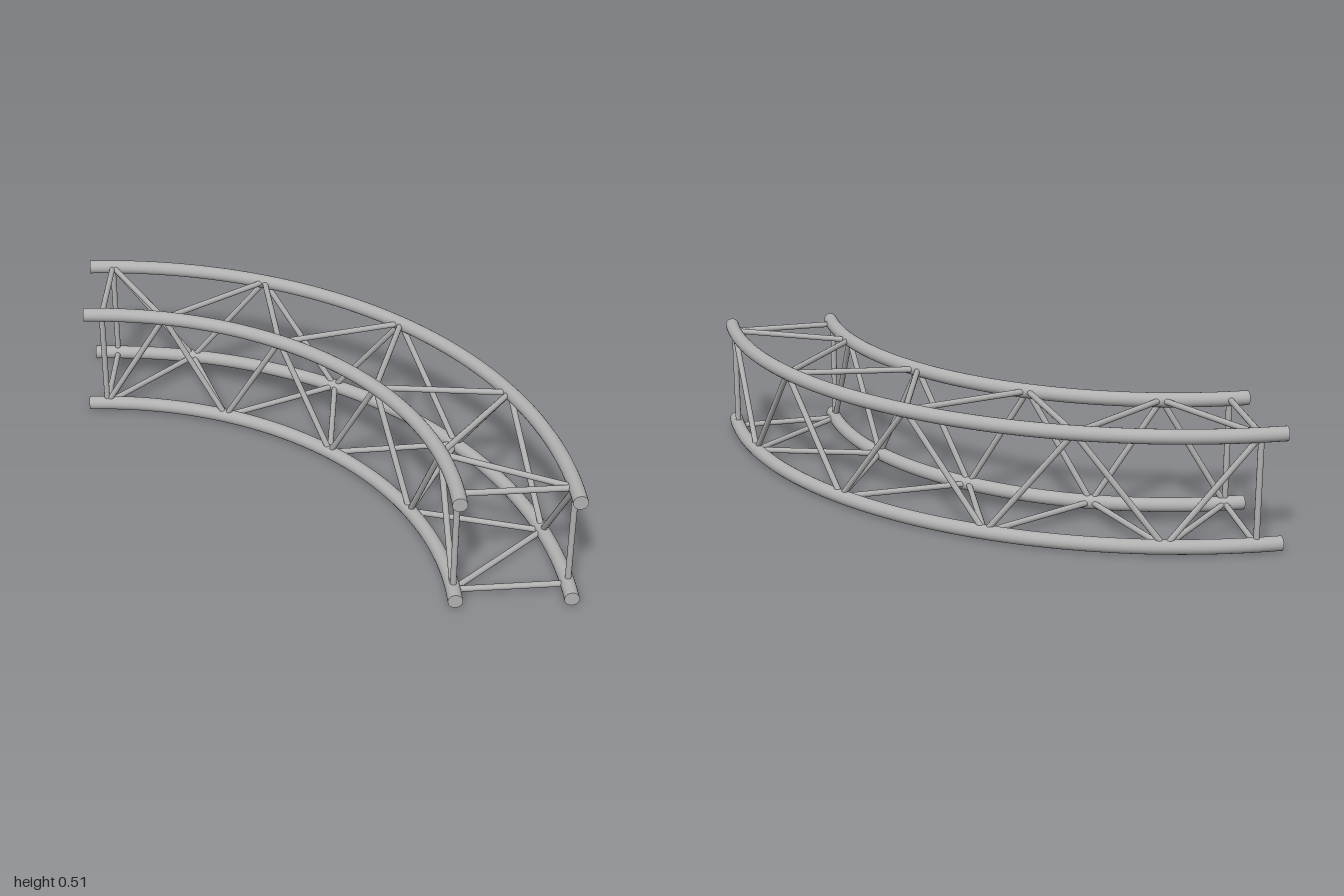
import * as THREE from 'three';

const OUTER = 1.97, INNER = 1.515;   // chord radii about the bend centre
const LOW = 0.03, HIGH = 0.485;      // chord heights
const CHORD_R = 0.03, BRACE_R = 0.0125;
const BAYS = 8;

export function createModel() {
  const metal = new THREE.MeshStandardMaterial({ color: 0xb0b0b0 });
  metal.name = 'greyMetal';
  const model = new THREE.Group();
  model.name = 'curvedTruss';

  const add = (geometry, name, parent = model) => {
    const mesh = new THREE.Mesh(geometry, metal);
    mesh.name = name;
    parent.add(mesh);
    return mesh;
  };

  // Four quarter-circle chords with closed ends
  for (const [side, radius] of [['outer', OUTER], ['inner', INNER]]) {
    for (const [level, y] of [['Bottom', LOW], ['Top', HIGH]]) {
      const chord = new THREE.Group();
      chord.name = `${side}${level}Chord`;
      chord.position.set(-1, y, 1);
      add(new THREE.TorusGeometry(radius, CHORD_R, 20, 64, Math.PI / 2).rotateX(-Math.PI / 2), 'chordTube', chord);
      add(new THREE.CircleGeometry(CHORD_R, 20), 'frontEndCap', chord).position.x = radius;
      const cap = add(new THREE.CircleGeometry(CHORD_R, 20), 'sideEndCap', chord);
      cap.position.z = -radius;
      cap.rotation.y = -Math.PI / 2;
      model.add(chord);
    }
  }

  // Joint i on a chord, spaced evenly from 3 to 87 degrees
  const joint = (i, radius, y) => {
    const a = THREE.MathUtils.degToRad(3 + (84 * i) / BAYS);
    return new THREE.Vector3(-1 + radius * Math.cos(a), y, 1 - radius * Math.sin(a));
  };
  const up = new THREE.Vector3(0, 1, 0);
  const brace = (a, b, name) => {
    const along = b.clone().sub(a);
    const mesh = add(new THREE.CylinderGeometry(BRACE_R, BRACE_R, along.length(), 12), name);
    mesh.position.copy(a).add(b).multiplyScalar(0.5);
    mesh.quaternion.setFromUnitVectors(up, along.normalize());
  };

  // Square frame near each end
  for (const i of [0, BAYS]) {
    for (const r of [OUTER, INNER]) brace(joint(i, r, LOW), joint(i, r, HIGH), 'endUpright');
    for (const y of [LOW, HIGH]) brace(joint(i, INNER, y), joint(i, OUTER, y), 'endCrossbar');
  }

  // Zigzag braces on all four faces, meeting at shared joints
  const pick = (i, even, odd) => (i % 2 === 0 ? even : odd);
  for (let i = 0; i < BAYS; i++) {
    const zigzag = (at, name) => brace(at(i), at(i + 1), name);
    zigzag((k) => joint(k, OUTER, pick(k, HIGH, LOW)), 'outerBrace');
    zigzag((k) => joint(k, INNER, pick(k, LOW, HIGH)), 'innerBrace');
    zigzag((k) => joint(k, pick(k, OUTER, INNER), HIGH), 'topBrace');
    zigzag((k) => joint(k, pick(k, INNER, OUTER), LOW), 'bottomBrace');
  }
  return model;
}
